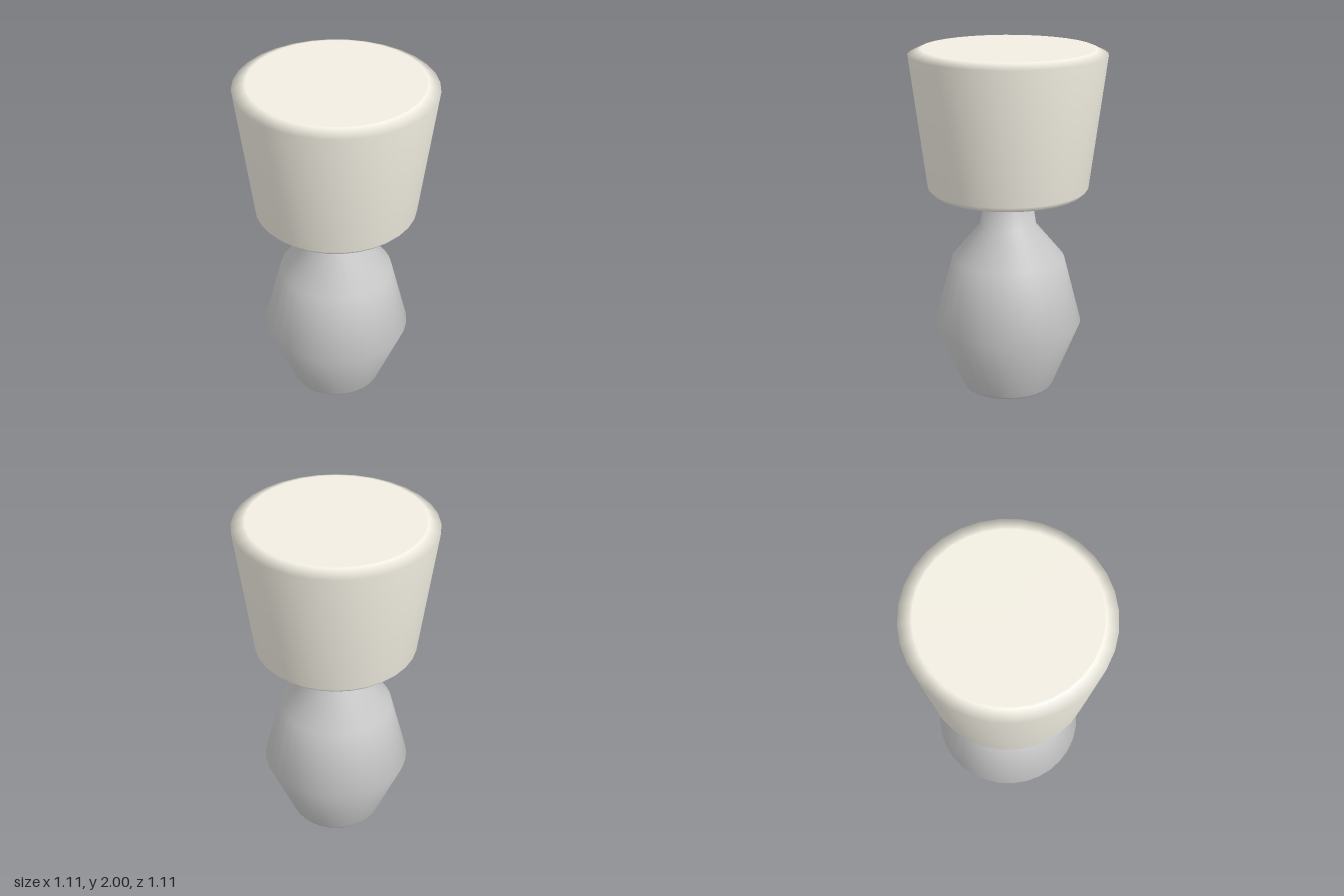
import * as THREE from 'three';

const SEGMENTS = 32;

// Smooth turned part from [radius, height] pairs, listed bottom to top
function turned(name, profile, color) {
  const points = profile.map(([r, y]) => new THREE.Vector2(r, y));
  const mesh = new THREE.Mesh(
    new THREE.LatheGeometry(points, SEGMENTS),
    new THREE.MeshStandardMaterial({ color })
  );
  mesh.name = name;
  return mesh;
}

export function createModel() {
  const lamp = new THREE.Group();
  lamp.name = 'tableLamp';

  // Vase-shaped base with a tapered neck running up into the shade
  lamp.add(turned('base', [
    [0, 0], [0.245, 0], [0.26, 0], [0.27, 0.015],
    [0.425, 0.4], [0.325, 0.79], [0.162, 0.985], [0.13, 1.2],
  ], 0xcccccc));

  // Closed, flared shade with bevelled rims; extra cap rings keep the caps flat
  lamp.add(turned('shade', [
    [0, 1.185], [0.42, 1.185], [0.43, 1.185], [0.458, 1.215],
    [0.555, 1.97], [0.49, 2], [0.48, 2], [0, 2],
  ], 0xf2eee2));

  return lamp;
}
